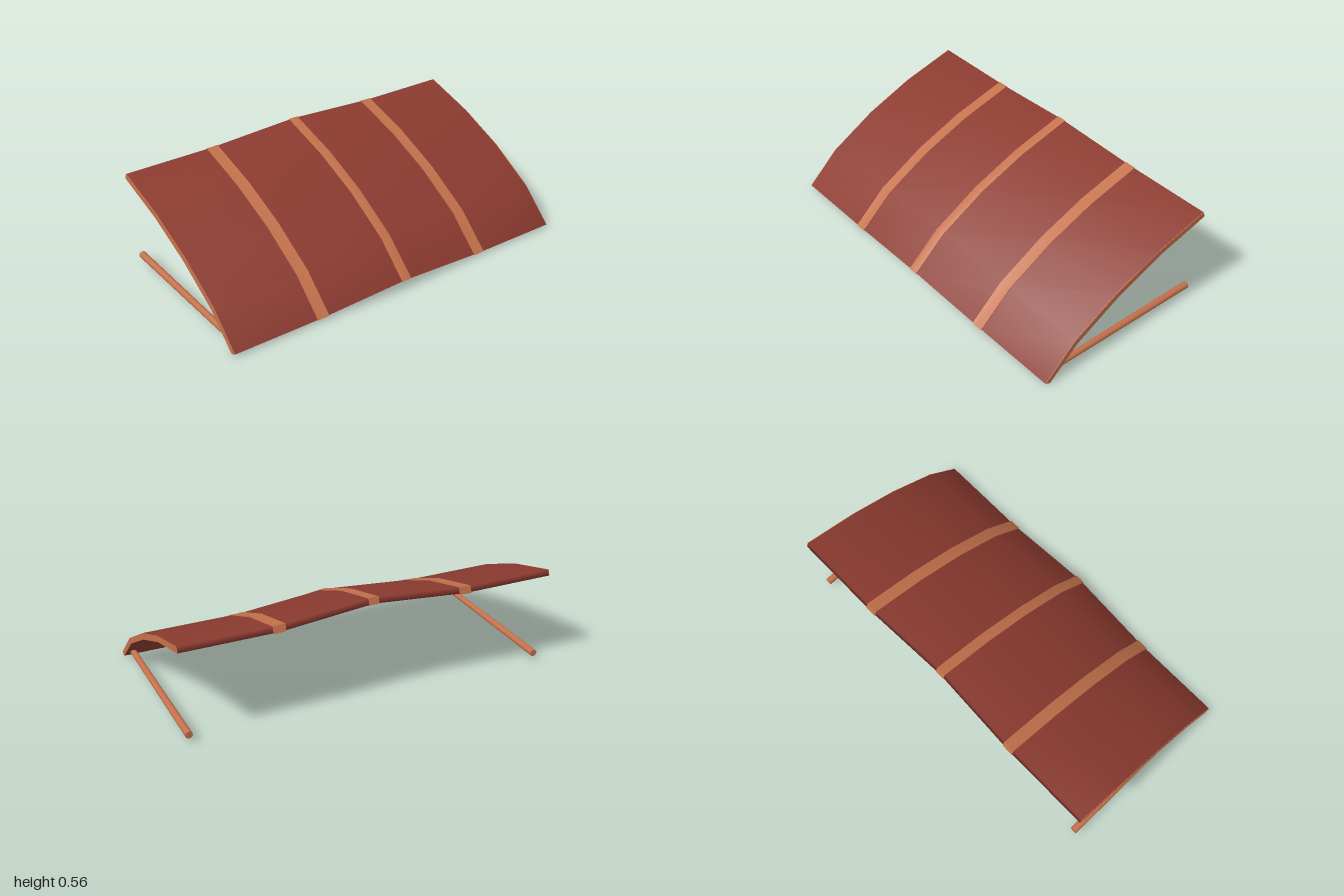
import * as THREE from 'three';
import { toCreasedNormals } from 'three/addons/utils/BufferGeometryUtils.js';

const cloth = new THREE.MeshStandardMaterial({ color: 0x8c3b30 });
const wood = new THREE.MeshStandardMaterial({ color: 0xc4714b });

// Curved roof profile as [z, y], from the low front edge to the high back edge
const upper = [[0.5, 0.015], [0.323, 0.18], [0.062, 0.33], [-0.205, 0.44], [-0.504, 0.526]];
const lower = [[0.472, 0.002], [0.305, 0.154], [0.05, 0.299], [-0.214, 0.41], [-0.514, 0.496]];

// The middle of the roof is lifted into a shallow ridge
const ridge = (x) => Math.max(0, 1 - Math.abs(x) / 0.5);

// Closed slab following the roof through the given x stations, swollen by pad
function roofSlab(xs, pad) {
  const n = upper.length, ringSize = 2 * n;
  const pos = [], index = [];
  const quad = (a, b, c, d) => index.push(a, b, c, a, c, d);
  const point = (x, j, top) => {
    const [uz, uy] = upper[j], [lz, ly] = lower[j];
    const len = Math.hypot(uz - lz, uy - ly);
    const s = top ? pad / len : -pad / len;
    const [z, y] = top ? upper[j] : lower[j];
    const end = j === 0 ? pad : j === n - 1 ? -pad : 0;
    pos.push(x, y + (uy - ly) * s + 0.036 * ridge(x), z + (uz - lz) * s + end + 0.018 * ridge(x));
  };
  xs.forEach((x) => {
    for (let j = 0; j < n; j++) point(x, j, true);
    for (let j = n - 1; j >= 0; j--) point(x, j, false);
  });
  for (let i = 0; i < xs.length - 1; i++) {
    for (let k = 0; k < ringSize; k++) {
      const a = i * ringSize, b = a + ringSize, m = (k + 1) % ringSize;
      quad(a + k, b + k, b + m, a + m);
    }
  }
  const last = (xs.length - 1) * ringSize;
  for (let j = 0; j < n - 1; j++) {
    const t = j, b = ringSize - 1 - j;
    quad(last + t, last + b, last + b - 1, last + t + 1);
    quad(t, t + 1, b - 1, b);
  }
  const geo = new THREE.BufferGeometry();
  geo.setAttribute('position', new THREE.Float32BufferAttribute(pos, 3));
  geo.setIndex(index);
  geo.computeVertexNormals();
  return geo;
}

export function createModel() {
  const group = new THREE.Group();
  const add = (name, geo, mat) => {
    const mesh = new THREE.Mesh(geo, mat);
    mesh.name = name;
    group.add(mesh);
    return mesh;
  };

  // Softly shaded canopy sheet
  add('canopy', roofSlab([-0.997, -0.5, 0, 0.5, 0.997], 0), cloth);

  // Ribs standing slightly proud above and below the canopy
  [[-0.5, 0.032], [0, 0.027], [0.5, 0.032]].forEach(([x, w]) => {
    add('rib', toCreasedNormals(roofSlab([x - w, x, x + w], 0.003), 0.6), wood);
  });

  [-1, 1].forEach((side) => {
    // End rib closing the side of the canopy
    const xs = [side * 0.99, side].sort((a, b) => a - b);
    add('endRib', toCreasedNormals(roofSlab(xs, -0.0005), 0.6), wood);

    // Straight support pole running back from the low front edge
    const pole = add('supportPole', new THREE.CylinderGeometry(0.016, 0.019, 0.94, 12), wood);
    pole.rotation.x = Math.PI / 2;
    pole.position.set(side * 0.96, 0.042, -0.02);
  });

  return group;
}
